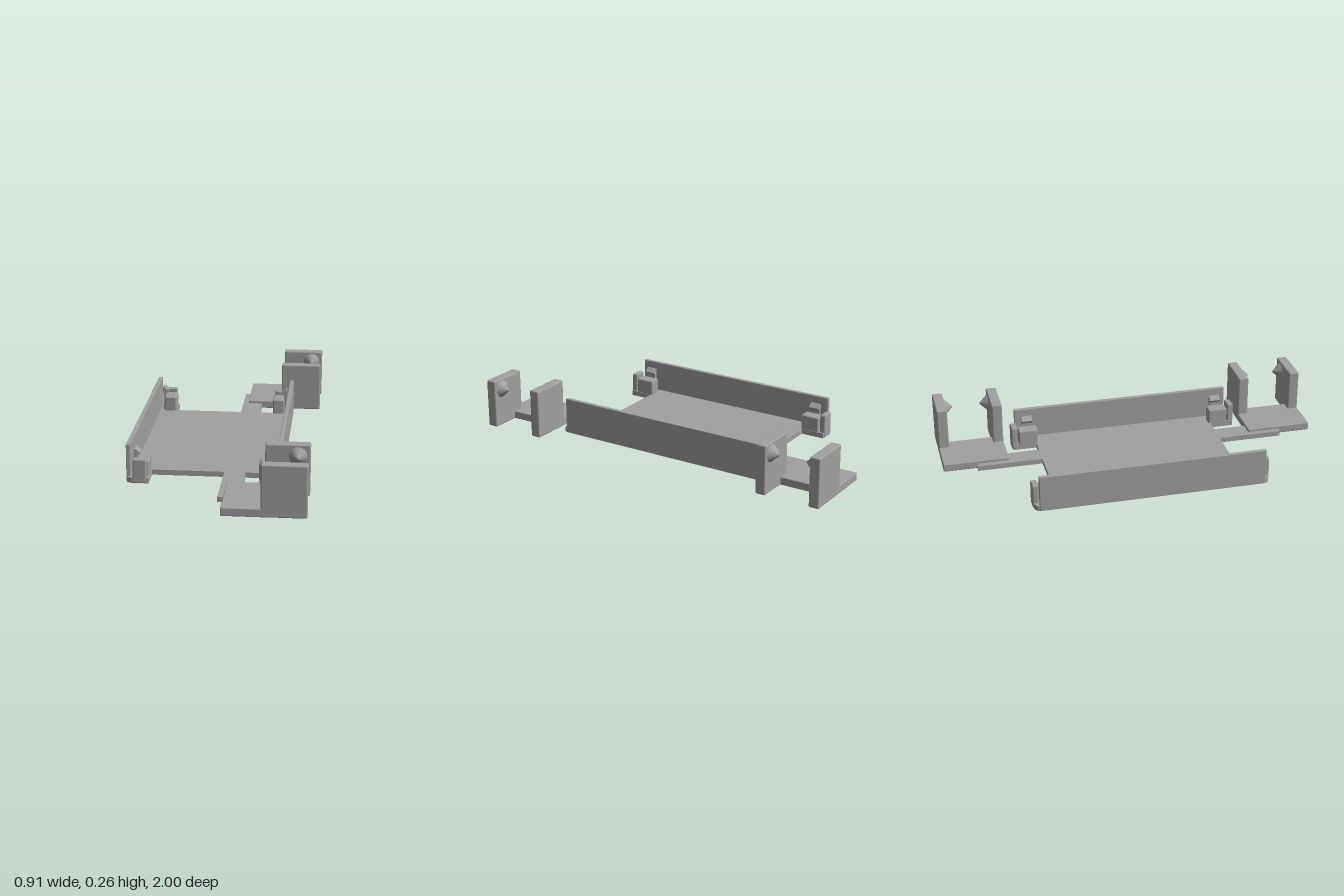
import * as THREE from 'three';
import { RoundedBoxGeometry } from 'three/addons/geometries/RoundedBoxGeometry.js';

export function createModel() {
  const model = new THREE.Group();
  model.name = 'mountingTray';
  const grey = new THREE.MeshStandardMaterial({ color: 0xa0a0a0 });
  grey.name = 'plain grey';

  const add = (name, geometry) => {
    const mesh = new THREE.Mesh(geometry, grey);
    mesh.name = name;
    model.add(mesh);
    return mesh;
  };
  // Softly edged box given by its limits on each axis, in any order
  const box = (name, [x0, x1], [y0, y1], [z0, z1], r = 0.005) => {
    const g = new RoundedBoxGeometry(Math.abs(x1 - x0), y1 - y0, Math.abs(z1 - z0), 2, r);
    g.translate((x0 + x1) / 2, (y0 + y1) / 2, (z0 + z1) / 2);
    return add(name, g);
  };

  // Floor outline: chamfered ears at the corners and a stepped arm at each end
  const half = [
    [0.31, 0.575], [0.303, 0.598], [0.28, 0.61], [0.20, 0.61], [0.20, 0.485],
    [0.125, 0.485], [0.125, 0.66], [0.05, 0.66], [0.05, 0.825], [0.02, 0.825],
    [0.02, 0.485], [-0.342, 0.485], [-0.342, 0.61], [-0.425, 0.61],
    [-0.448, 0.598], [-0.455, 0.575],
  ];
  const outline = [...half, ...half.map(([x, z]) => [x, -z]).reverse()];
  const floorShape = new THREE.Shape(outline.map(([x, z]) => new THREE.Vector2(x, z)));
  const floor = new THREE.ExtrudeGeometry(floorShape, { depth: 0.027, bevelEnabled: false });
  floor.rotateX(-Math.PI / 2);
  add('floor', floor);

  // Long side walls
  box('rightWall', [-0.455, -0.434], [0, 0.19], [-0.585, 0.585], 0.003);
  box('leftWall', [0.289, 0.31], [0, 0.19], [-0.585, 0.585], 0.003);

  // Hook profile, pointing to +x
  const hookShape = new THREE.Shape([
    [-0.01, 0.02], [0.006, 0.02], [0.006, 0.122], [0.019, 0.138], [-0.004, 0.157], [-0.01, 0.157],
  ].map(([x, y]) => new THREE.Vector2(x, y)));

  // Corner holders: support block, end post and hooked latch
  const midX = -0.0725;
  for (const sx of [-1, 1]) {
    for (const sz of [-1, 1]) {
      const xs = (a, b) => [midX + sx * a, midX + sx * b];
      const zs = (a, b) => [sz * a, sz * b];
      box('cornerBlock', xs(0.272, 0.335), [0, 0.106], zs(0.475, 0.577), 0.008);
      box('cornerPost', xs(0.279, 0.347), [0, 0.125], zs(0.582, 0.615), 0.008);
      const hook = new THREE.ExtrudeGeometry(hookShape, { depth: 0.056, bevelEnabled: false });
      hook.translate(0, 0, -0.028);
      if (sx > 0) hook.rotateY(Math.PI);
      hook.translate(midX + sx * 0.338, 0, sz * 0.523);
      add('cornerLatch', hook);
    }
  }

  // End brackets: a platform with two upright plates and facing conical pips
  const pip = [[0.045, -0.004], [0.045, 0], [0.007, 0.04], [0.004, 0.044], [0, 0.045]]
    .map(([r, y]) => new THREE.Vector2(r, y));
  for (const sz of [-1, 1]) {
    box('bracketPlatform', [0.05, 0.30], [0, 0.042], [sz * 0.655, sz * 1.0]);
    for (const [z0, z1, face, dir] of [[0.655, 0.71, 0.71, 1], [0.945, 1.0, 0.945, -1]]) {
      box('bracketPlate', [0.238, 0.455], [0, 0.258], [sz * z0, sz * z1], 0.007);
      const cone = new THREE.LatheGeometry(pip, 24);
      cone.rotateX(sz * dir * Math.PI / 2);
      cone.translate(0.395, 0.202, sz * face);
      add('bracketPip', cone);
    }
  }
  return model;
}
